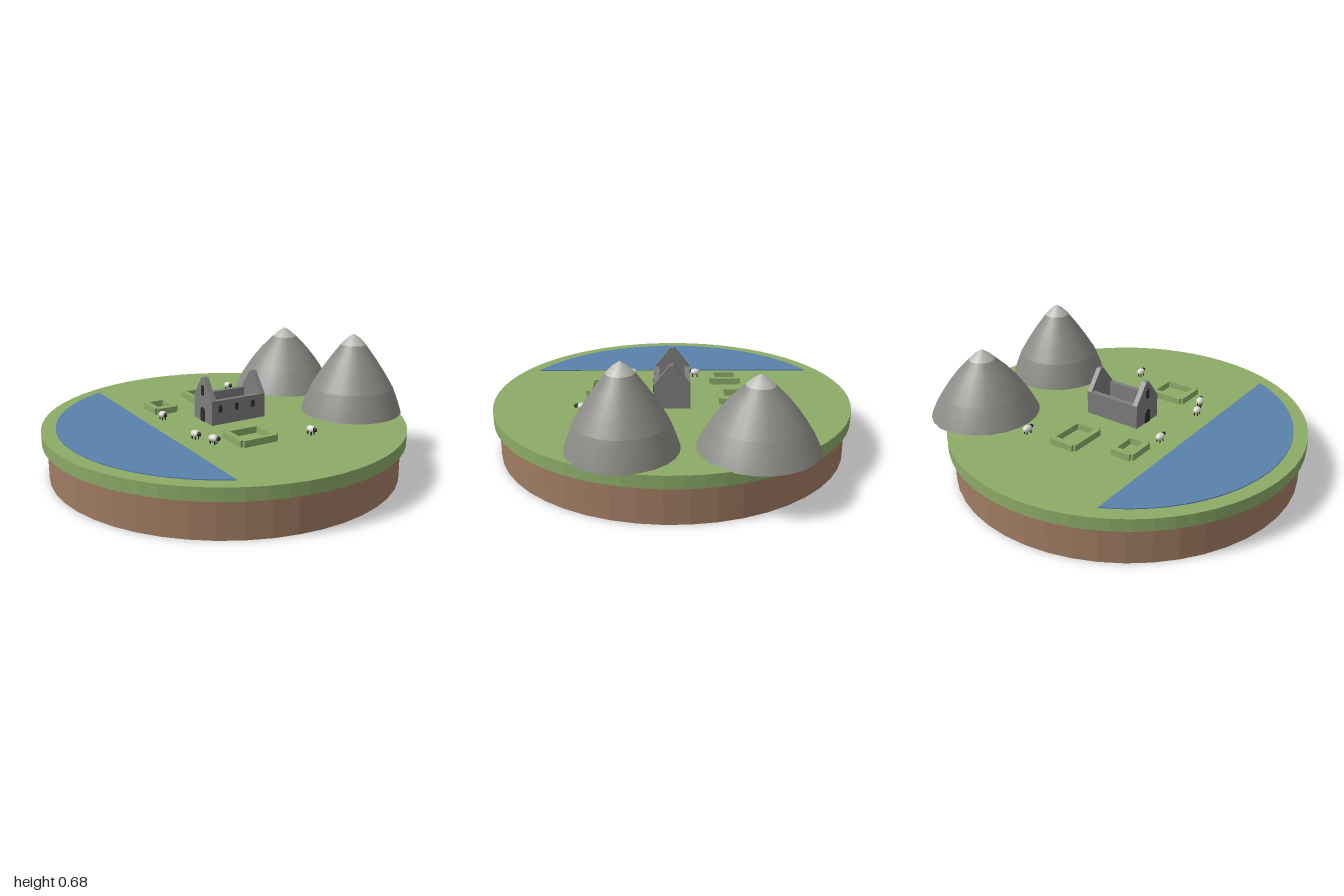
import * as THREE from 'three';

const material = (name, color) => new THREE.MeshStandardMaterial({ name, color });

export function createModel() {
  const grass = material('grass', 0x8cab68);
  const earth = material('earth', 0xa07c62);
  const water = material('water', 0x5a82ab);
  const rock = material('rock', 0x8a8a86);
  const peakRock = material('pale peak', 0xb8b8b4);
  const stone = material('stone', 0x7d7d7d);
  const dark = material('dark opening', 0x2e2e2e);
  const wool = material('wool', 0xdcdad5);
  const black = material('black face', 0x1c1c1c);

  const model = new THREE.Group();
  model.name = 'island';
  const GROUND = 0.255, CENTRE_Z = 0.046, TILT = -0.349;

  function add(parent, name, geometry, mat, x = 0, y = 0, z = 0) {
    const mesh = new THREE.Mesh(geometry, mat);
    mesh.name = name;
    mesh.position.set(x, y, z);
    parent.add(mesh);
    return mesh;
  }
  function group(name, x, y, z, turn) {
    const g = new THREE.Group();
    g.name = name;
    g.position.set(x, y, z);
    g.rotation.y = turn;
    model.add(g);
    return g;
  }
  function faceted(geometry) {
    const g = geometry.toNonIndexed();
    g.computeVertexNormals();
    return g;
  }
  const points = (list) => list.map(([x, y]) => new THREE.Vector2(x, y));
  const extrude = (shape, depth) =>
    new THREE.ExtrudeGeometry(shape, { depth, bevelEnabled: false, curveSegments: 32 });
  // Lays an outline drawn in x and -z flat, with its thickness upwards
  const slab = (shape, height) => extrude(shape, height).rotateX(-Math.PI / 2);

  // Round base with a grass lip
  add(model, 'earthBase', faceted(new THREE.CylinderGeometry(0.92, 0.92, 0.192, 48)), earth, 0, 0.096, CENTRE_Z);
  add(model, 'grassDisc', faceted(new THREE.CylinderGeometry(0.947, 0.947, GROUND - 0.19, 64)), grass,
    0, (GROUND + 0.19) / 2, CENTRE_Z);

  // Lake: a circle segment cut by a straight shore
  const lake = new THREE.Shape();
  lake.absarc(0, -CENTRE_Z, 0.873, -3.016, -0.821, false);
  lake.closePath();
  add(model, 'lake', slab(lake, 0.005), water, 0, GROUND, 0);

  // Mountains: steep skirt, rounded dome and pale tip
  function mountain(name, x, z, skirt, dome, tip) {
    const g = group(name, x, 0, z, 0);
    add(g, 'skirt', new THREE.LatheGeometry(points([[0, skirt[0][1]], skirt[0]]), 24), rock);
    add(g, 'lowerSlope', new THREE.LatheGeometry(points(skirt), 24), rock);
    add(g, 'upperSlope', new THREE.LatheGeometry(points(dome), 24), rock);
    add(g, 'tip', new THREE.LatheGeometry(points(tip), 24), peakRock);
    g.children[0].name = 'underside';
    g.children[0].geometry = new THREE.CircleGeometry(skirt[0][0], 24).rotateX(Math.PI / 2);
    g.children[0].position.y = skirt[0][1];
  }
  mountain('backMountain', -0.148, -0.706,
    [[0.291, 0.25], [0.262, 0.31], [0.222, 0.375]],
    [[0.222, 0.375], [0.18, 0.435], [0.135, 0.49], [0.068, 0.558]],
    [[0.07, 0.556], [0.035, 0.588], [0, 0.61]]);
  mountain('sideMountain', 0.445, -0.503,
    [[0.271, 0.25], [0.25, 0.315], [0.22, 0.39]],
    [[0.22, 0.39], [0.175, 0.465], [0.125, 0.54], [0.064, 0.622]],
    [[0.067, 0.62], [0.035, 0.652], [0, 0.676]]);

  // Roofless church: two gables joined by low side walls
  const church = group('church', 0.011, GROUND, 0.016, TILT);
  const W = 0.19, L = 0.32, T = 0.027, EAVE = 0.127, PEAK = 0.235;
  const gable = new THREE.Shape(points([
    [-W / 2, 0], [W / 2, 0], [W / 2, EAVE], [0.01, PEAK], [-0.01, PEAK], [-W / 2, EAVE]]));
  add(church, 'frontGable', extrude(gable, T), stone, 0, 0, L / 2 - T);
  add(church, 'backGable', extrude(gable, T), stone, 0, 0, -L / 2);
  for (const side of [-1, 1]) {
    add(church, side > 0 ? 'leftWall' : 'rightWall', new THREE.BoxGeometry(T, EAVE, L - 2 * T), stone,
      side * (W - T) / 2, EAVE / 2, 0);
  }

  // Arched openings as thin plates
  function arch(width, height) {
    const r = width / 2, s = new THREE.Shape();
    s.moveTo(-r, 0);
    s.lineTo(r, 0);
    s.lineTo(r, height - r);
    s.absarc(0, height - r, r, 0, Math.PI, false);
    s.closePath();
    return extrude(s, 0.006);
  }
  add(church, 'door', arch(0.042, 0.075), dark, 0, 0, L / 2 - 0.002);
  add(church, 'gableWindow', arch(0.028, 0.055), dark, 0, 0.14, L / 2 - 0.002);
  for (const z of [-0.085, 0.014, 0.112]) {
    add(church, 'sideWindow', arch(0.02, 0.038), dark, W / 2 - 0.002, 0.066, z).rotation.y = Math.PI / 2;
  }

  // Low hedge pens with notched corners
  function pen(x, z, w, d) {
    const a = w / 2, b = d / 2, n = 0.014, t = 0.03;
    const corners = [];
    for (const [sx, sy] of [[1, 1], [-1, 1], [-1, -1], [1, -1]]) {
      const notch = [[a, b - n], [a - n, b - n], [a - n, b]].map(([u, v]) => [u * sx, v * sy]);
      corners.push(...(sx * sy > 0 ? notch : notch.reverse()));
    }
    const shape = new THREE.Shape(points(corners));
    shape.holes.push(new THREE.Path(points([
      [a - t, b - t], [a - t, t - b], [t - a, t - b], [t - a, b - t]])));
    add(group('hedgePen', x, GROUND - 0.002, z, TILT), 'hedge', slab(shape, 0.036), grass);
  }
  pen(-0.317, -0.137, 0.23, 0.165);
  pen(-0.357, 0.161, 0.172, 0.135);
  pen(0.32, 0.235, 0.19, 0.213);

  // Sheep, each with its head along its own +x
  const body = new THREE.SphereGeometry(1, 14, 10).scale(0.028, 0.018, 0.02);
  const head = new THREE.SphereGeometry(1, 10, 8).scale(0.013, 0.011, 0.01);
  const leg = new THREE.CylinderGeometry(0.003, 0.003, 0.018, 6);
  const flock = [
    [-0.333, -0.39, -0.35], [-0.225, 0.28, -0.35], [0.113, 0.403, -0.2],
    [0.225, 0.398, 0], [0.51, -0.01, -0.3]];
  for (const [x, z, turn] of flock) {
    const sheep = group('sheep', x, GROUND, z, turn);
    add(sheep, 'body', body, wool, 0, 0.028, 0);
    add(sheep, 'head', head, black, 0.029, 0.031, 0);
    for (const lx of [-0.014, 0.014]) {
      for (const lz of [-0.009, 0.009]) add(sheep, 'leg', leg, black, lx, 0.009, lz);
    }
  }
  return model;
}
